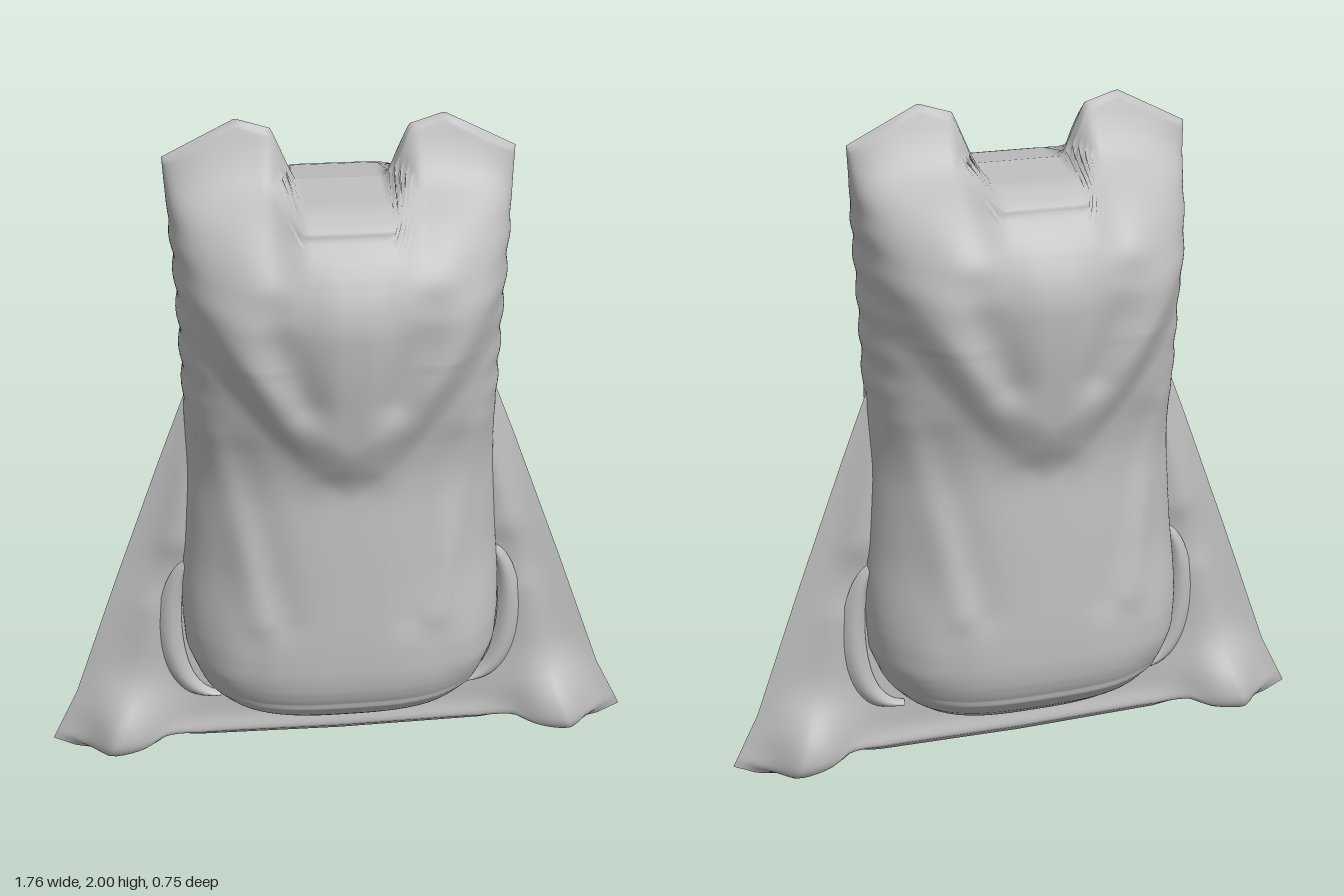
import * as THREE from 'three';

const { smoothstep, lerp, clamp } = THREE.MathUtils;

// Straight-line value at k in a list of [key, value] pairs with rising keys
function table(points, k) {
  if (k <= points[0][0]) return points[0][1];
  for (let i = 1; i < points.length; i++) {
    const [a, va] = points[i - 1], [b, vb] = points[i];
    if (k <= b) return lerp(va, vb, (k - a) / (b - a));
  }
  return points[points.length - 1][1];
}

// Same, rounded off by averaging over a short span
function soft(points, k, span) {
  let sum = 0;
  for (let i = -2; i <= 2; i++) sum += table(points, k + (i * span) / 2);
  return sum / 5;
}

// Soft ridge of height 1 along the line a-b, fading over width r
function ridge(x, y, ax, ay, bx, by, r) {
  const dx = bx - ax, dy = by - ay;
  const t = clamp(((x - ax) * dx + (y - ay) * dy) / (dx * dx + dy * dy), 0, 1);
  const d = Math.hypot(x - ax - t * dx, y - ay - t * dy);
  return Math.exp(-((d / r) ** 2));
}

// Cloth half: a grid with u in -1..1 across and v in 0..1 up, placed by rule
function sheet(rule, nu, nv) {
  const geo = new THREE.PlaneGeometry(2, 1, nu, nv);
  const p = geo.attributes.position;
  for (let i = 0; i < p.count; i++) p.setXYZ(i, ...rule(p.getX(i), p.getY(i) + 0.5));
  geo.computeVertexNormals();
  return geo;
}

const bodyWidth = [[0.13, 0.08], [0.145, 0.18], [0.17, 0.26], [0.2, 0.32], [0.25, 0.38], [0.3, 0.425], [0.4, 0.465],
  [0.55, 0.475], [0.75, 0.46], [1, 0.445], [1.2, 0.445], [1.4, 0.45], [1.6, 0.458], [1.83, 0.475], [2, 0.483]];
const bodyDepth = [[0.13, 0], [0.145, 0.06], [0.17, 0.13], [0.2, 0.18], [0.25, 0.25], [0.3, 0.29], [0.36, 0.315],
  [0.5, 0.312], [0.8, 0.287], [1, 0.265], [1.1, 0.27], [1.25, 0.295], [1.4, 0.315], [1.55, 0.32], [1.65, 0.31],
  [1.72, 0.285], [1.77, 0.24], [1.8, 0.195], [1.82, 0.13], [1.83, 0]];
// Shoulders run up into two flat corners beside the opening
const shoulderDepth = [[1.4, 0.315], [1.55, 0.32], [1.64, 0.3], [1.7, 0.265], [1.76, 0.205], [1.8, 0.145], [1.83, 0.1],
  [1.87, 0.066], [1.92, 0.036], [2, 0]];
const topEdge = [[0.125, 1.825], [0.185, 1.97], [0.28, 2], [0.482, 1.9]];

// Stuffed bag with a V-shaped drape on the chest
function body(u, v) {
  const s = Math.sin(u * Math.PI / 2);
  const top = table(topEdge, Math.abs(s) * 0.48);
  const row = v - 0.06 * Math.sin(2 * Math.PI * v);
  const y = 0.13 + 1.695 * row + (top - 1.825) * smoothstep(v, 0.72, 1);
  const crinkle = 0.004 * Math.sin(y * 57) * smoothstep(y, 1.1, 1.3) * (1 - smoothstep(y, 1.65, 1.8));
  const x = s * (soft(bodyWidth, y, y > 0.5 ? 0.08 : 0.01) + crinkle * Math.abs(s) ** 8);
  const a = Math.abs(x);

  // The waist slopes off into the skirt; bottom and chest are fuller
  const waist = smoothstep(y, 0.45, 0.75) * (1 - smoothstep(y, 0.95, 1.25));
  const section = Math.pow(Math.max(0, 1 - Math.abs(s) ** lerp(3, 2.7, waist)), lerp(0.45, 0.6, waist));

  const vLine = 1.03 + 1.3 * a ** 1.25;
  const drape = (0.056 - 0.016 * smoothstep(a, 0.03, 0.14)) * smoothstep(y, vLine - 0.06, vLine + 0.14)
    * (1 - smoothstep(y, 1.5, 1.78));
  const folds = 0.014 * ridge(a, y, 0.36, 1.55, 0.08, 1.08, 0.06)
    - 0.02 * ridge(a, y, 0.22, 1.55, 0.13, 1.3, 0.06)
    + 0.01 * ridge(a, y, 0.27, 1.75, 0.24, 1.55, 0.07)
    + 0.014 * ridge(a, y, 0.38, 1.15, 0.25, 0.6, 0.05)
    - 0.01 * ridge(a, y, 0.3, 1.1, 0.19, 0.6, 0.06)
    + 0.005 * Math.sin(a * 30 + y * 8) * smoothstep(a, 0.2, 0.35) * (1 - smoothstep(y, 0.8, 1.2)) * smoothstep(y, 0.2, 0.4);

  const side = y > 1.4 ? smoothstep(a, 0.11, 0.21) : 0;
  const middle = soft(bodyDepth, y, y > 0.3 && y < 1.75 ? 0.06 : 0.006);
  const depth = lerp(middle, soft(shoulderDepth, y, 0.02), side);
  const seam = 1 - smoothstep(v, 0.985, 1);
  return [x, y, seam * section * (depth + (drape + folds) * Math.min(1, depth / 0.25))];
}

// Flared flat hem with a puffed lower corner on each side
const skirtWidth = [[0, 0.88], [0.14, 0.8], [0.48, 0.66], [0.82, 0.515], [1, 0.435]];
const hem = [[0, 0.028], [0.5, 0.035], [0.62, 0.05], [0.7, 0.022], [0.82, 0.003], [0.92, 0.02], [1, 0.055]];
function skirt(u, v) {
  const t = v ** 1.4;
  const x = u * table(skirtWidth, t);
  const a = Math.abs(x);
  const y = lerp(table(hem, Math.abs(u)), 1.22, t);
  const edge = Math.min(1, 6 * (1 - Math.abs(u))) * Math.min(1, t * 40);
  const reach = a < 0.69 ? 0.15 : 0.095;
  const puff = 0.098 * Math.exp(-(((a - 0.69) / reach) ** 2) - ((y - 0.11) / 0.12) ** 2);
  const fold = 0.012 * ridge(a, y, 0.6, 0.12, 0.56, 0.5, 0.06) + 0.022 * ridge(a, y, 0.43, 1.15, 0.48, 0.75, 0.07);
  const roll = 0.015 * Math.exp(-(((y - 0.06) / 0.04) ** 2));
  return [x, y, edge * (0.018 + puff + fold + roll)];
}

// Crescent of gathered cloth where the bag meets the hem
function crescent(u, v) {
  const angle = lerp(-1.5, 1.1, v);
  const r = u * 0.035 * Math.sqrt(Math.sin(Math.PI * clamp(v, 0.03, 0.97)));
  const x = 0.33 + (0.18 + r) * Math.cos(angle) ** 0.6;
  const y = 0.45 + (0.25 + r) * Math.sin(angle);
  return [x, y, 0.024 + 0.02 * (1 - u * u)];
}

export function createModel() {
  const group = new THREE.Group();
  group.name = 'clothSack';
  const cloth = new THREE.MeshStandardMaterial({ color: 0xbdbdbd, side: THREE.DoubleSide });
  cloth.name = 'grey cloth';

  // Each part has a front half and the same half turned round for the back
  function addPart(name, geo) {
    for (const side of ['Front', 'Back']) {
      const mesh = new THREE.Mesh(geo, cloth);
      mesh.name = name + side;
      if (side === 'Back') mesh.rotation.y = Math.PI;
      group.add(mesh);
    }
  }
  const mirrored = (u, v) => {
    const [x, y, z] = crescent(-u, v);
    return [-x, y, z];
  };

  addPart('bag', sheet(body, 110, 150));
  addPart('skirt', sheet(skirt, 80, 60));
  addPart('leftGather', sheet(crescent, 6, 24));
  addPart('rightGather', sheet(mirrored, 6, 24));
  return group;
}
